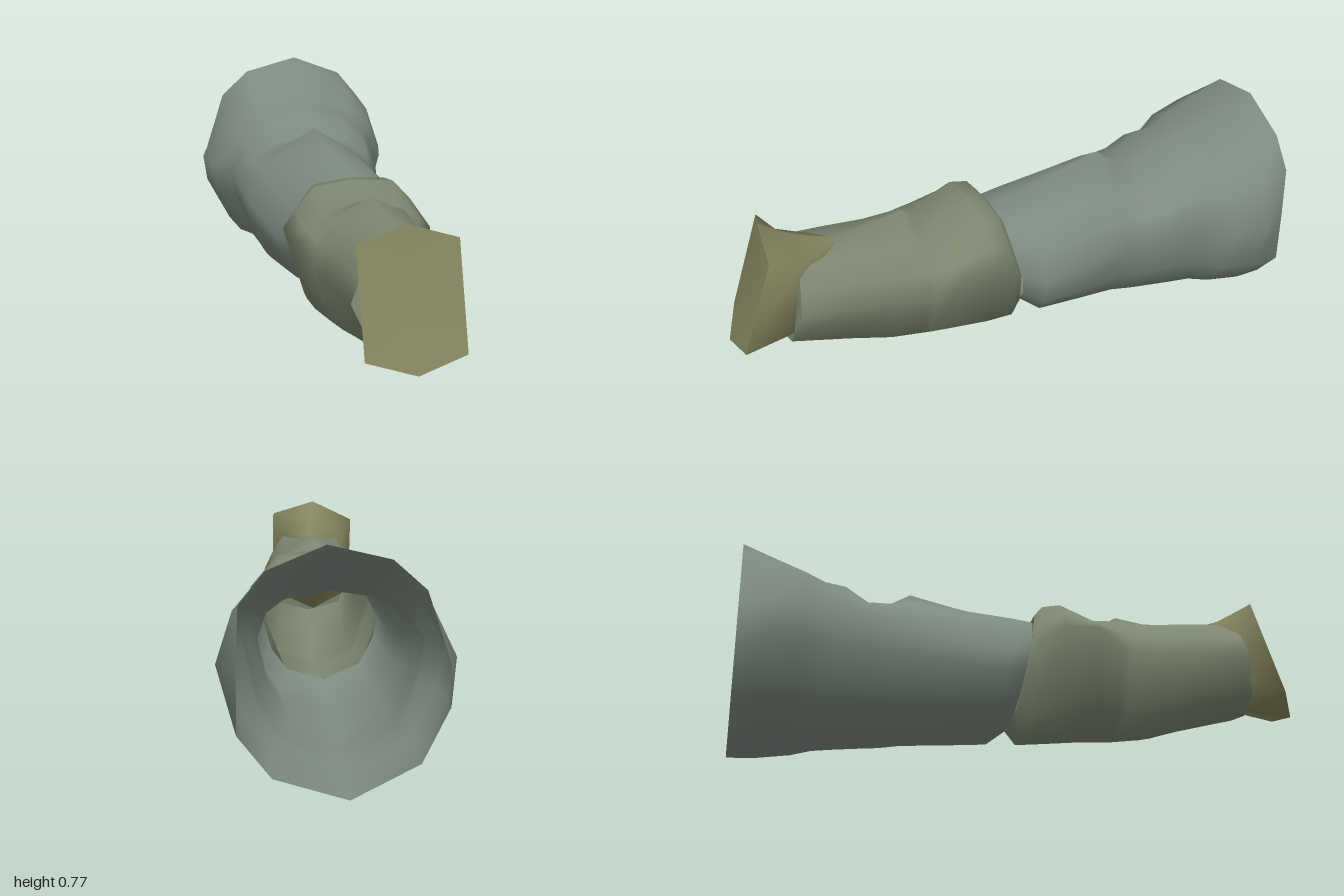
import * as THREE from 'three';

// Loft with an optional closed front, through rings of [x, y, z] points, counter-clockwise seen from the front
function loft(name, color, rings, capFront = false) {
  const n = rings[0].length, index = [];
  const pos = rings.flat(2);
  for (let i = 0; i < rings.length - 1; i++) {
    for (let j = 0; j < n; j++) {
      const k = (j + 1) % n, a = i * n + j, b = i * n + k;
      index.push(a, b, a + n, b, b + n, a + n);
    }
  }
  if (capFront) {
    // separate vertices keep the rim of the end face sharp
    const last = rings[rings.length - 1], base = pos.length / 3;
    pos.push(...last.flat());
    const mid = [0, 1, 2].map(c => last.reduce((s, p) => s + p[c], 0) / n);
    pos.push(...mid);
    for (let j = 0; j < n; j++) index.push(base + j, base + (j + 1) % n, base + n);
  }
  const geo = new THREE.BufferGeometry();
  geo.setAttribute('position', new THREE.Float32BufferAttribute(pos, 3));
  geo.setIndex(index);
  geo.computeVertexNormals();
  const mesh = new THREE.Mesh(geo, new THREE.MeshStandardMaterial({ color, side: THREE.DoubleSide }));
  mesh.name = name;
  return mesh;
}

// Unit outlines: cuff rim, cuff band, sleeve body, and the tube with its V-shaped keel
const rimOutline = [[1, 0.02], [0.98, 0.53], [0.73, 0.8], [0.16, 1], [-0.45, 0.88], [-0.77, 0.64],
  [-1, 0.05], [-1, -0.28], [-0.73, -0.72], [-0.06, -1], [0.67, -0.82], [1, -0.48]];
const bandOutline = [[1, 0], [0.86, 0.52], [0.62, 0.8], [0.06, 1], [-0.46, 0.9], [-0.76, 0.64],
  [-1, 0.05], [-0.92, -0.29], [-0.68, -0.72], [-0.07, -1], [0.58, -0.82], [0.86, -0.48]];
const bodyOutline = [[1, 0], [0.86, 0.48], [0.56, 0.84], [0.02, 1], [-0.46, 0.86], [-0.78, 0.52],
  [-1, 0.03], [-0.92, -0.29], [-0.68, -0.74], [-0.05, -1], [0.6, -0.82], [0.86, -0.48]];
const keelOutline = [[1, 0], [0.83, 0.45], [0.58, 0.94], [0, 1], [-0.56, 0.92], [-0.83, 0.45],
  [-1, 0], [-0.67, -0.81], [0, -1], [0.67, -0.81]];

// Scale an outline to left/right x and bottom/middle/top y; ridge lifts only the top centre point
function ring(outline, [z, xl, xr, yb, ym, yt, ridge = 0, lean = 0]) {
  const cx = (xl + xr) / 2, w = (xr - xl) / 2;
  return outline.map(([u, v], j) => [
    cx + u * w,
    ym + v * (v > 0 ? yt - ym : ym - yb) + (j === 3 ? ridge : 0),
    z + lean * v,
  ]);
}

export function createModel() {
  const group = new THREE.Group();
  group.name = 'jointedSleeve';

  // Flared open cuff: z, left, right, bottom, middle, top, ridge, lean
  const rim = ring(rimOutline, [-1.0, -0.335, 0.305, 0.0, 0.39, 0.77]);
  const band = [
    [-0.9, -0.365, 0.365, 0.012, 0.4, 0.71],
    [-0.78, -0.35, 0.335, 0.026, 0.4, 0.66],
  ].map(r => ring(bandOutline, r));

  // Sleeve body with a tent-like ridge on top, narrowing to the joint
  const body = [
    [-0.71, -0.3, 0.28, 0.035, 0.42, 0.645],
    [-0.64, -0.3, 0.275, 0.043, 0.43, 0.63],
    [-0.56, -0.295, 0.26, 0.052, 0.42, 0.57],
    [-0.48, -0.29, 0.24, 0.06, 0.4, 0.575, 0.015],
    [-0.4, -0.285, 0.225, 0.075, 0.39, 0.59, 0.065],
    [-0.25, -0.265, 0.235, 0.102, 0.37, 0.59, 0.04],
    [-0.07, -0.245, 0.245, 0.13, 0.36, 0.585, 0.015, 0.025],
    [0, -0.215, 0.19, 0.175, 0.38, 0.575, 0, 0.035],
  ].map(r => ring(bodyOutline, r));
  group.add(loft('upperSleeve', 0x7d8a80, [rim, ...band, ...body]));

  // Lower tube, pinched at the joint and dipped behind the front ridge
  const tube = [
    [0, -0.215, 0.18, 0.175, 0.38, 0.58, 0, 0.035],
    [0.035, -0.24, 0.21, 0.115, 0.42, 0.61, 0, 0.025],
    [0.12, -0.26, 0.235, 0.128, 0.47, 0.615, 0.005],
    [0.24, -0.26, 0.23, 0.145, 0.47, 0.56],
    [0.33, -0.23, 0.205, 0.157, 0.42, 0.58, 0.045],
    [0.36, -0.22, 0.195, 0.16, 0.41, 0.58, 0.065],
    [0.47, -0.2, 0.18, 0.175, 0.42, 0.59, 0.04],
    [0.62, -0.2, 0.17, 0.225, 0.44, 0.605, 0.005],
    [0.8, -0.2, 0.16, 0.29, 0.46, 0.615, 0, -0.03],
  ];
  group.add(loft('lowerTube', 0x7d8770, tube.map(r => ring(keelOutline, r)), true));

  // End block: narrow wedge on top of the tube widening to a slanted face
  const endBlock = [
    [[0.03, 0.47, 0.6], [0.03, 0.59, 0.6], [-0.01, 0.612, 0.6],
      [-0.05, 0.59, 0.6], [-0.05, 0.47, 0.6], [-0.01, 0.43, 0.6]],
    [[0.115, 0.37, 0.8], [0.1, 0.62, 0.77], [-0.02, 0.665, 0.75],
      [-0.15, 0.61, 0.77], [-0.16, 0.37, 0.8], [-0.04, 0.295, 0.83]],
    [[0.12, 0.34, 0.99], [0.12, 0.68, 0.88], [-0.04, 0.73, 0.86],
      [-0.19, 0.66, 0.82], [-0.19, 0.32, 0.93], [-0.04, 0.29, 1.0]],
  ];
  group.add(loft('endBlock', 0x858560, endBlock, true));

  return group;
}
